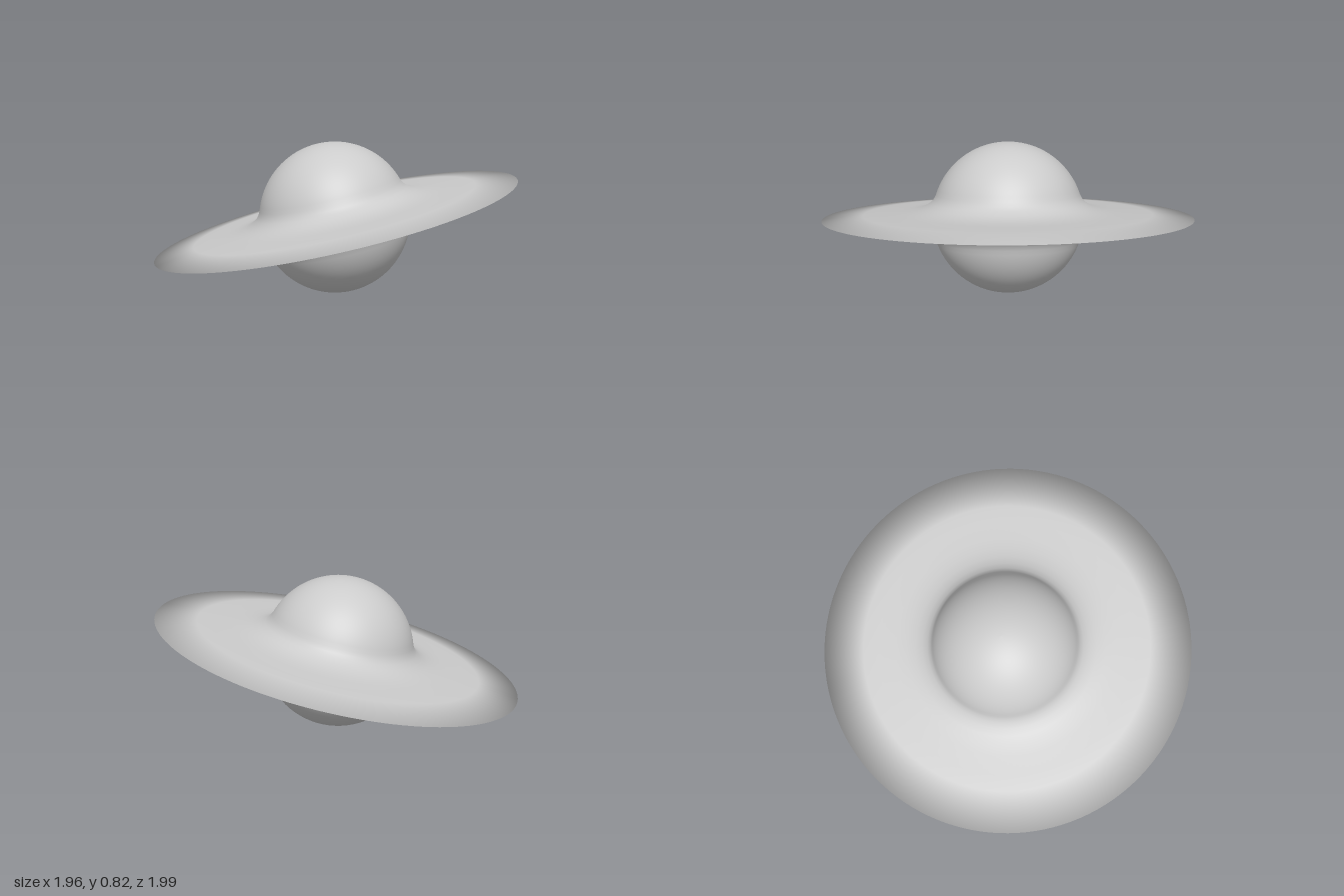
import * as THREE from 'three';

export function createModel() {
  const model = new THREE.Group();
  const R = 0.41;

  // Upper half of the profile [radius, height]: thin rim, flat ring, fillet into the globe
  const upper = [
    [0.78, 0.022], [0.7, 0.026], [0.6, 0.031], [0.54, 0.037],
    [0.49, 0.047], [0.45, 0.062], [0.42, 0.082], [0.402, 0.102],
  ];

  // Globe cap above the fillet
  const start = Math.asin(0.125 / R);
  const steps = 20;
  for (let i = 0; i <= steps; i++) {
    const a = start + (Math.PI / 2 - start) * (i / steps);
    upper.push([i === steps ? 0 : R * Math.cos(a), R * Math.sin(a)]);
  }

  // Mirror to the underside; one shared rim point keeps the edge softly shaded
  const profile = [
    ...upper.slice().reverse().map(([r, h]) => new THREE.Vector2(r, -h)),
    new THREE.Vector2(1, 0),
    ...upper.map(([r, h]) => new THREE.Vector2(r, h)),
  ];

  const planet = new THREE.Mesh(
    new THREE.LatheGeometry(profile, 128),
    new THREE.MeshStandardMaterial({ color: 0xcccccc }),
  );
  planet.name = 'ringedPlanet';

  // Tilt the ring: its left side and its back are raised
  const axis = new THREE.Vector3(-0.208, 0.975, 0.078).normalize();
  planet.quaternion.setFromUnitVectors(new THREE.Vector3(0, 1, 0), axis);
  planet.position.y = R;
  model.add(planet);

  return model;
}
